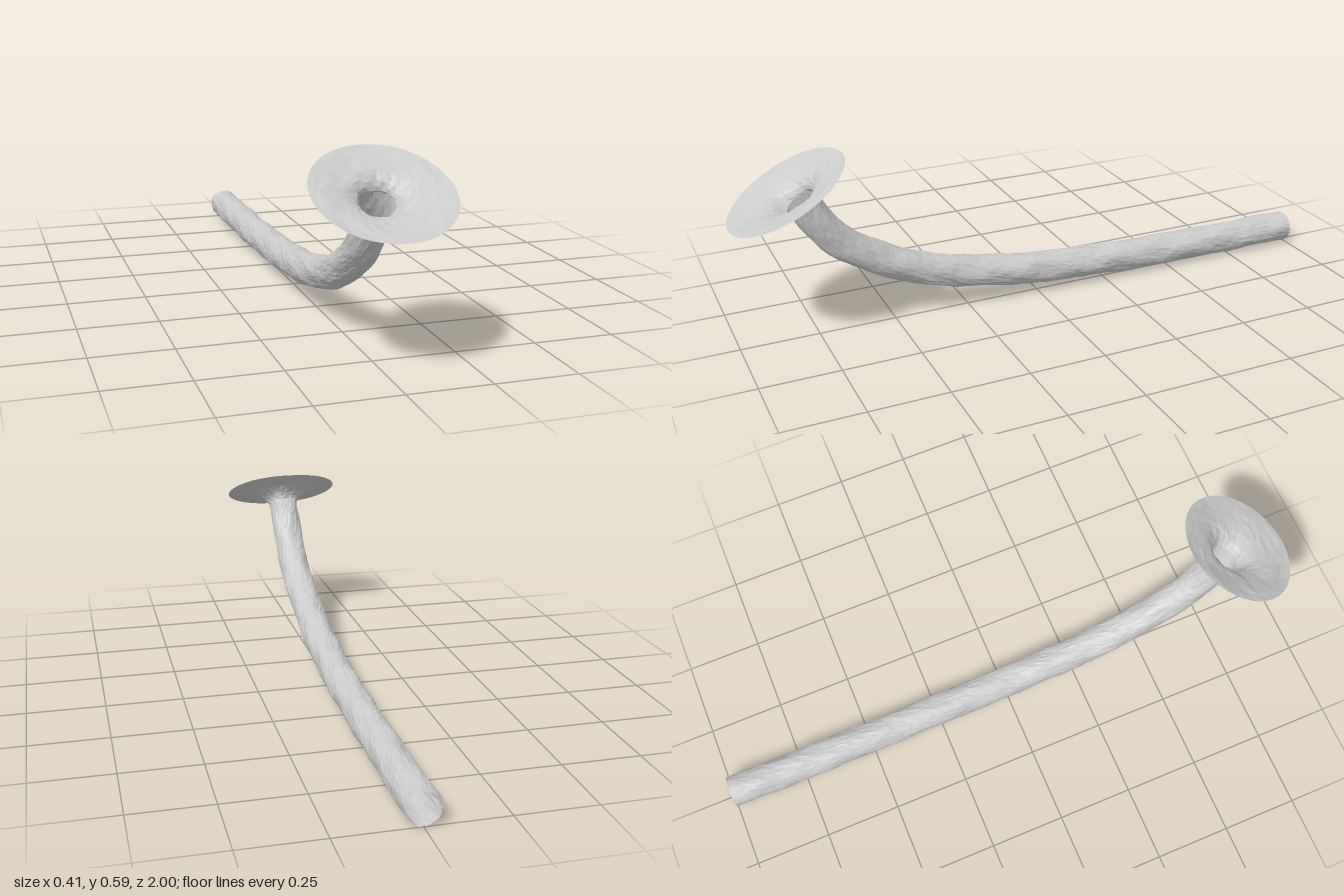
import * as THREE from 'three';

const SIDES = 40;
const material = new THREE.MeshStandardMaterial({ color: 0xcccccc, flatShading: true, side: THREE.DoubleSide });

// Repeatable value in -1..1 for a ring and side
function hash(i, j) {
  const s = Math.sin(i * 127.1 + j * 311.7) * 43758.5453;
  return (s - Math.floor(s)) * 2 - 1;
}

// Soft lumps with a little grain, for rough rock
function rock(i, j) {
  const a = (j / SIDES) * Math.PI * 2;
  return 0.45 * Math.sin(3 * a + i * 0.37) + 0.35 * Math.sin(5 * a - i * 0.61 + 1.3)
    + 0.3 * Math.sin(2 * a + i * 0.9) + 0.45 * hash(i, j);
}

// One ring of points around a centre, square to the direction
function makeRing(i, { center, dir, radius, rough, lift }) {
  const side = new THREE.Vector3(1, 0, 0);
  const up = new THREE.Vector3().crossVectors(dir, side);
  const points = [];
  for (let j = 0; j < SIDES; j++) {
    const a = (j / SIDES) * Math.PI * 2;
    const r = radius + rough * rock(i, j);
    const p = center.clone()
      .addScaledVector(side, Math.cos(a) * r)
      .addScaledVector(up, Math.sin(a) * r)
      .addScaledVector(dir, lift * rock(i + 50, j));
    p.y = Math.max(p.y, 0);
    p.z = THREE.MathUtils.clamp(p.z, -1, 1);
    points.push(p);
  }
  return points;
}

// Skin between successive rings
function loft(name, rings) {
  const positions = [], index = [];
  rings.forEach((ring) => ring.forEach((p) => positions.push(p.x, p.y, p.z)));
  for (let i = 0; i < rings.length - 1; i++) {
    for (let j = 0; j < SIDES; j++) {
      const k = (j + 1) % SIDES;
      const a = i * SIDES + j, b = i * SIDES + k, c = a + SIDES, d = b + SIDES;
      index.push(a, b, d, a, d, c);
    }
  }
  const geometry = new THREE.BufferGeometry();
  geometry.setAttribute('position', new THREE.Float32BufferAttribute(positions, 3));
  geometry.setIndex(index);
  geometry.computeVertexNormals();
  const mesh = new THREE.Mesh(geometry, material);
  mesh.name = name;
  return mesh;
}

export function createModel() {
  const group = new THREE.Group();
  group.name = 'tunnel';

  // Centre line as [z, y]: level at the back, climbing to the front
  const path = new THREE.CatmullRomCurve3([
    [-1, 0.055], [-0.7, 0.056], [-0.4, 0.061], [-0.1, 0.075], [0.1, 0.094], [0.3, 0.13],
    [0.45, 0.176], [0.58, 0.242], [0.68, 0.318], [0.74, 0.395], [0.772, 0.45],
  ].map(([z, y]) => new THREE.Vector3(0, y, z)));

  const specs = [];
  const STEPS = 90;
  for (let i = 0; i <= STEPS; i++) {
    const t = i / STEPS;
    const center = path.getPointAt(t);
    center.x = -0.006 * Math.exp(-(((center.z - 0.4) / 0.3) ** 2));
    const dir = path.getTangentAt(t);
    if (i === 0) dir.set(0, 0, 1);
    specs.push({ center, dir, radius: 0.052, rough: 0.003, lift: i === 0 ? 0 : 0.002 });
  }

  // Flared mouth: [distance behind the rim plane, radius, roughness]
  const mouthDir = new THREE.Vector3(0, 0.885, 0.467).normalize();
  const rimCenter = new THREE.Vector3(0, 0.495, 0.82);
  const flare = [
    [0.046, 0.056, 0.004], [0.036, 0.064, 0.005], [0.028, 0.075, 0.005], [0.021, 0.09, 0.004],
    [0.016, 0.106, 0.003], [0.012, 0.122, 0.002], [0.009, 0.138, 0.002], [0.006, 0.154, 0.002],
    [0.004, 0.17, 0.002], [0.002, 0.186, 0.001], [0, 0.203, 0],
  ];
  flare.forEach(([depth, radius, rough], n) => {
    const center = rimCenter.clone().addScaledVector(mouthDir, -depth);
    // Throat eases from the tunnel centre line to the rim centre
    center.z -= 0.014 * Math.max(0, 1 - n / 4);
    specs.push({ center, dir: mouthDir, radius, rough, lift: n === flare.length - 1 ? 0.001 : 0.003 });
  });

  const rings = specs.map((spec, i) => makeRing(i, spec));
  group.add(loft('tunnelTube', rings.slice(0, STEPS + 1)));
  group.add(loft('flaredMouth', rings.slice(STEPS)));
  return group;
}
